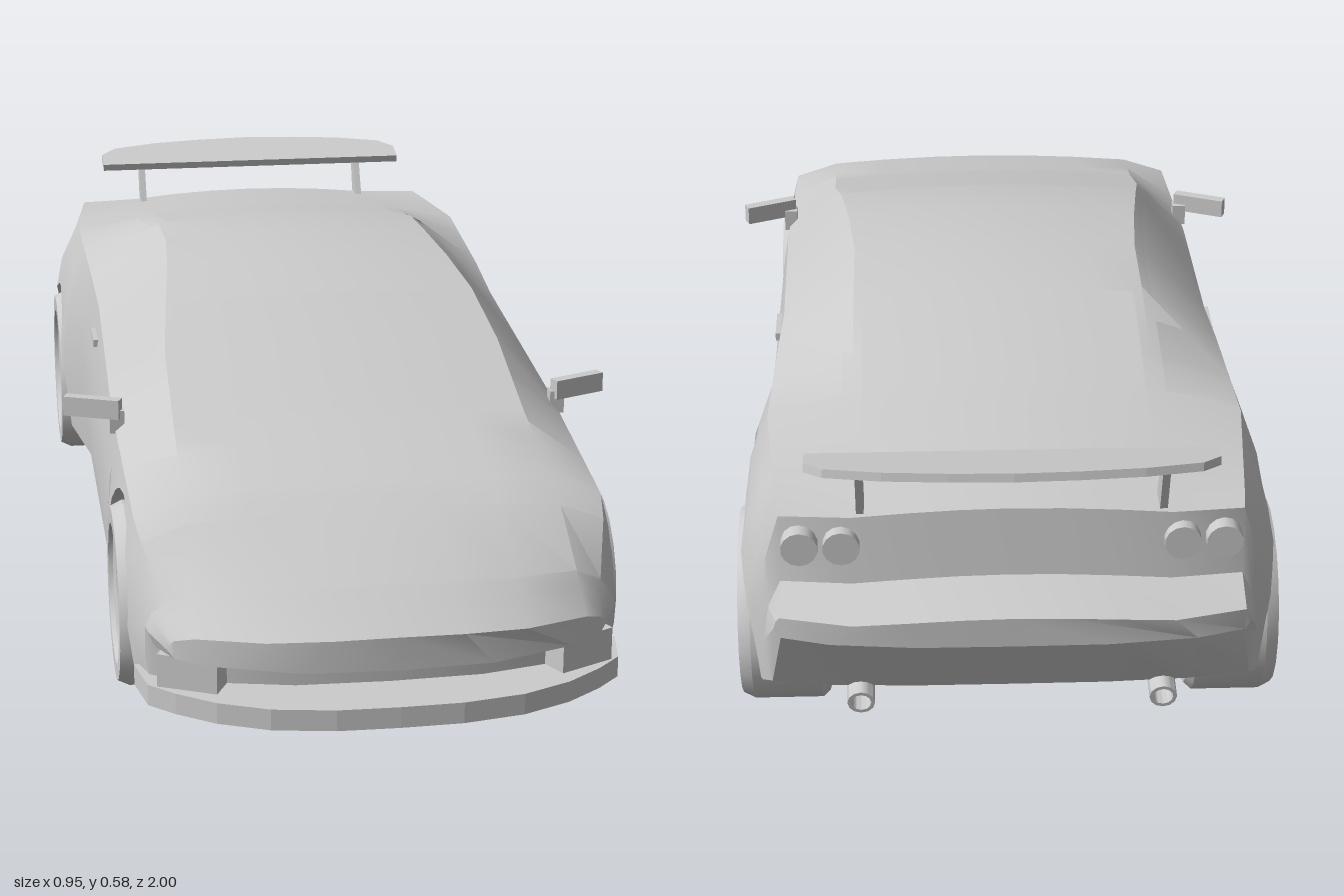
import * as THREE from 'three';
import { toCreasedNormals } from 'three/addons/utils/BufferGeometryUtils.js';

const mat = new THREE.MeshStandardMaterial({ color: 0xcccccc });
const glassMat = new THREE.MeshStandardMaterial({ color: 0xcccccc, side: THREE.DoubleSide });
const { lerp, clamp } = THREE.MathUtils;

// Body lines as [z, value], from nose to tail
const FLOOR_Y = [[0.985, 0.17], [0.905, 0.17], [0.9, 0.08], [0.4, 0.075], [-0.5, 0.1], [-0.85, 0.135], [-0.915, 0.165], [-1, 0.295]];
const SIDE_X = [[0.985, 0.35], [0.93, 0.375], [0.7, 0.41], [-0.3, 0.407], [-0.5, 0.441], [-0.75, 0.443], [-0.9, 0.397], [-1, 0.372]];
const BELT_X = [[0.985, 0.34], [0.7, 0.385], [0.3, 0.39], [-0.15, 0.38], [-0.6, 0.39], [-0.9, 0.362]];
const BELT_Y = [[0.985, 0.2], [0.7, 0.335], [0.4, 0.372], [-0.3, 0.46], [-0.6, 0.48], [-0.9, 0.468], [-0.915, 0.357], [-1, 0.331]];
const ROOF_X = [[0.985, 0.31], [0.3, 0.295], [0, 0.262], [-0.15, 0.25]];
const ROOF_Y = [[0.985, 0.225], [0.9, 0.28], [0.7, 0.376], [0.5, 0.43], [0.15, 0.552], [0, 0.575], [-0.15, 0.583],
  [-0.3, 0.575], [-0.6, 0.52], [-0.85, 0.488], [-0.9, 0.483], [-0.915, 0.372], [-1, 0.346]];
const LINES = [FLOOR_Y, SIDE_X, BELT_X, BELT_Y, ROOF_X, ROOF_Y];
const WHEELS = [
  { name: 'FrontWheel', z: 0.575, r: 0.155, arch: 0.175, x: 0.412, width: 0.117 },
  { name: 'RearWheel', z: -0.655, r: 0.165, arch: 0.182, x: 0.44, width: 0.145 },
];
const HALF = 12, LOOP = 22;

// Value of a body line at z
function at(line, z) {
  const i = line.findIndex((p) => p[0] <= z);
  if (i < 0) return line[line.length - 1][1];
  if (i === 0) return line[0][1];
  const [a, b] = [line[i - 1], line[i]];
  return lerp(a[1], b[1], (a[0] - z) / (a[0] - b[0]));
}

// Closed cross-section of the body at z, from floor centre over +x and back
function section(z) {
  const [yb, w, ws, ys, wr, yt] = LINES.map((line) => at(line, z));
  const yr = yt - 0.014;
  // the sill rises over the wheels
  let ya = yb;
  for (const o of WHEELS) {
    const d = Math.abs(z - o.z);
    if (d <= o.arch) ya = o.r + Math.sqrt(o.arch ** 2 - d * d);
  }
  const sideX = (y) => {
    const f = (y - yb) / (ys - yb), mid = lerp(w, ws, 0.35);
    if (f < 0.4) return lerp(0.97 * w, w, f / 0.4);
    return f < 0.75 ? lerp(w, mid, (f - 0.4) / 0.35) : lerp(mid, ws, (f - 0.75) / 0.25);
  };
  const y1 = lerp(ya, ys, 0.4), y2 = lerp(ya, ys, 0.75);
  const half = [[0, yb], [0.15, yb], [0.285, yb], [0.285, ya], [sideX(ya), ya],
    [sideX(y1), y1], [sideX(y2), y2], [ws, ys], [wr, yr],
    [wr * 0.66, lerp(yr, yt, 0.55)], [wr * 0.33, lerp(yr, yt, 0.88)], [0, yt]];
  // nose and tail are rounded in plan
  const nose = 0.12 * clamp((z - 0.75) / 0.235, 0, 1), tail = 0.04 * clamp((-z - 0.84) / 0.16, 0, 1);
  const right = half.map(([x, y]) =>
    new THREE.Vector3(x, y, z - nose * (x / 0.37) ** 3 + tail * (x / 0.37) ** 4));
  const left = right.slice(1, -1).reverse().map((p) => new THREE.Vector3(-p.x, p.y, p.z));
  return [...right, ...left];
}

// All z of the body's cross-sections, with extra ones round the wheel arches
function stations() {
  const zs = new Set(LINES.flat().map((p) => p[0]));
  for (const o of WHEELS) {
    for (let k = 0; k <= 12; k++) zs.add(o.z + o.arch * Math.cos((k / 12) * Math.PI) * 0.9999);
    zs.add(o.z + o.arch + 0.001).add(o.z - o.arch - 0.001);
  }
  return [...zs].sort((a, b) => b - a);
}

// Surface from rows of points, with optional extra quads
function grid(rows, extra = []) {
  const pos = [];
  const quad = (a, b, c, d) => [a, d, c, a, c, b].forEach((p) => pos.push(p.x, p.y, p.z));
  for (let i = 0; i < rows.length - 1; i++)
    for (let j = 0; j < rows[i].length - 1; j++)
      quad(rows[i][j], rows[i][j + 1], rows[i + 1][j + 1], rows[i + 1][j]);
  extra.forEach((q) => quad(...q));
  const g = new THREE.BufferGeometry();
  g.setAttribute('position', new THREE.Float32BufferAttribute(pos, 3));
  return toCreasedNormals(g, 0.45);
}

function bodyGeometry() {
  const rows = stations().map((z) => { const s = section(z); return [...s, s[0]]; });
  const caps = [];
  for (const [row, front] of [[rows[0], true], [rows[rows.length - 1], false]])
    for (let k = 0; k < HALF / 2 - 1; k++) {
      const r = [k, k + 1, HALF - 2 - k, HALF - 1 - k];
      const l = r.map((i) => (LOOP - i) % LOOP).reverse();
      for (const q of [r, l]) caps.push((front ? q.reverse() : q).map((i) => row[i]));
    }
  return grid(rows, caps);
}

// Glass panel lying just over the body between two z and two section positions
function glass(z0, z1, u0, u1) {
  const zs = [z0, ...stations().filter((z) => z < z0 && z > z1), z1];
  const us = [u0];
  for (let u = Math.floor(u0) + 1; u < u1; u++) us.push(u);
  us.push(u1);
  return grid(zs.map((z) => {
    const s = section(z);
    return us.map((u) => {
      const j = Math.floor(u), p = s[j].clone().lerp(s[j + 1], u - j);
      return p.set(p.x * 1.006, p.y + 0.002, p.z);
    });
  }));
}

const vectors = (points) => points.map((p) => new THREE.Vector2(...p));

// Flat plate from a plan outline of [x, z] points, mirrored in x, top at y = 0
function plate(points, depth) {
  const mirrored = points.map(([x, z]) => [-x, z]).reverse().filter(([x]) => x !== 0);
  const shape = new THREE.Shape(vectors([...points, ...mirrored]));
  return new THREE.ExtrudeGeometry(shape, { depth, bevelEnabled: false }).rotateX(Math.PI / 2);
}

function add(parent, name, geo, x = 0, y = 0, z = 0, material = mat) {
  const m = new THREE.Mesh(geo, material);
  m.name = name;
  m.position.set(x, y, z);
  parent.add(m);
  return m;
}

// Wheel with its outer face towards local +x
function wheel({ r, width }) {
  const g = new THREE.Group();
  const profile = [[0, -width], [0.93 * r, -width], [r, 0.012 - width], [r, -0.02], [0.94 * r, 0], [0.76 * r, 0],
    [0.74 * r, -0.008], [0.66 * r, -0.012], [0.62 * r, -0.045], [0, -0.045]];
  const tyre = new THREE.LatheGeometry(vectors(profile), 20).rotateZ(-Math.PI / 2);
  add(g, 'tyreAndRim', toCreasedNormals(tyre, 0.4));
  add(g, 'hub', new THREE.CylinderGeometry(0.18 * r, 0.22 * r, 0.035, 12).rotateZ(-Math.PI / 2), -0.027);
  for (let k = 0; k < 5; k++) {
    const spoke = new THREE.BoxGeometry(0.022, 0.56 * r, 0.16 * r).translate(-0.026, 0.38 * r, 0);
    add(g, 'spoke', spoke.rotateX((k / 5) * Math.PI * 2));
  }
  return g;
}

export function createModel() {
  const car = new THREE.Group();
  car.name = 'sportsCar';
  add(car, 'body', bodyGeometry());
  add(car, 'windscreen', glass(0.47, 0.17, 8.15, 13.85), 0, 0, 0, glassMat);
  add(car, 'rearWindow', glass(-0.32, -0.72, 8.2, 13.8), 0, 0, 0, glassMat);

  // front lip below the grille slot
  const lip = [0, 0.1, 0.2, 0.28, 0.34, 0.38].map((x) => [x, 1 - 0.15 * (x / 0.39) ** 3]);
  add(car, 'frontLip', plate([...lip, [0.395, 0.78]], 0.035), 0, 0.115, 0);

  // rear wing, tilted up towards the back
  const wing = [[0.32, 0], [0.32, -0.05], [0.29, -0.08], [0.2, -0.102], [0.1, -0.113], [0, -0.118]];
  add(car, 'wing', plate(wing, 0.014), 0, 0.558, -0.85).rotation.x = 0.22;
  const strutShape = new THREE.Shape(vectors([[0.845, 0.475], [0.895, 0.475], [0.925, 0.565], [0.89, 0.558]]));

  for (const s of [1, -1]) {
    const side = s > 0 ? 'left' : 'right';
    const u = s > 0 ? 7.12 : 14.12;
    add(car, side + 'SideWindow', glass(0.3, -0.58, u, u + 0.76), 0, 0, 0, glassMat);

    for (const o of WHEELS) {
      const g = wheel(o);
      g.name = side + o.name;
      g.position.set(s * o.x, o.r, o.z);
      if (s < 0) g.rotation.y = Math.PI;
      car.add(g);
    }

    add(car, 'mirror', new THREE.BoxGeometry(0.1, 0.034, 0.02), s * 0.426, 0.413, 0.36).rotation.y = s * 0.4;
    add(car, 'mirrorArm', new THREE.BoxGeometry(0.025, 0.04, 0.025), s * 0.386, 0.39, 0.37);
    add(car, 'doorHandle', new THREE.BoxGeometry(0.012, 0.014, 0.08), s * 0.391, 0.395, -0.11);
    add(car, 'fogLamp', new THREE.BoxGeometry(0.1, 0.055, 0.05), s * 0.31, 0.143, 0.87).rotation.y = s * 0.45;

    const strut = new THREE.ExtrudeGeometry(strutShape, { depth: 0.012, bevelEnabled: false });
    add(car, 'wingStrut', strut.rotateY(Math.PI / 2), s * 0.235 - 0.006);

    for (const x of [0.265, 0.33])
      add(car, 'tailLamp', new THREE.CylinderGeometry(0.029, 0.029, 0.035, 14).rotateX(Math.PI / 2), s * x, 0.425, -0.9);

    // exhaust: hollow tip angled down
    const pipe = [[0.016, 0], [0.022, 0], [0.022, 0.09], [0.016, 0.09], [0.016, 0.02], [0, 0.02]];
    const tip = new THREE.LatheGeometry(vectors(pipe), 12).rotateX(-Math.PI / 2);
    add(car, 'exhaust', toCreasedNormals(tip, 0.6), s * 0.24, 0.165, -0.85).rotation.x = -0.15;
  }
  return car;
}
